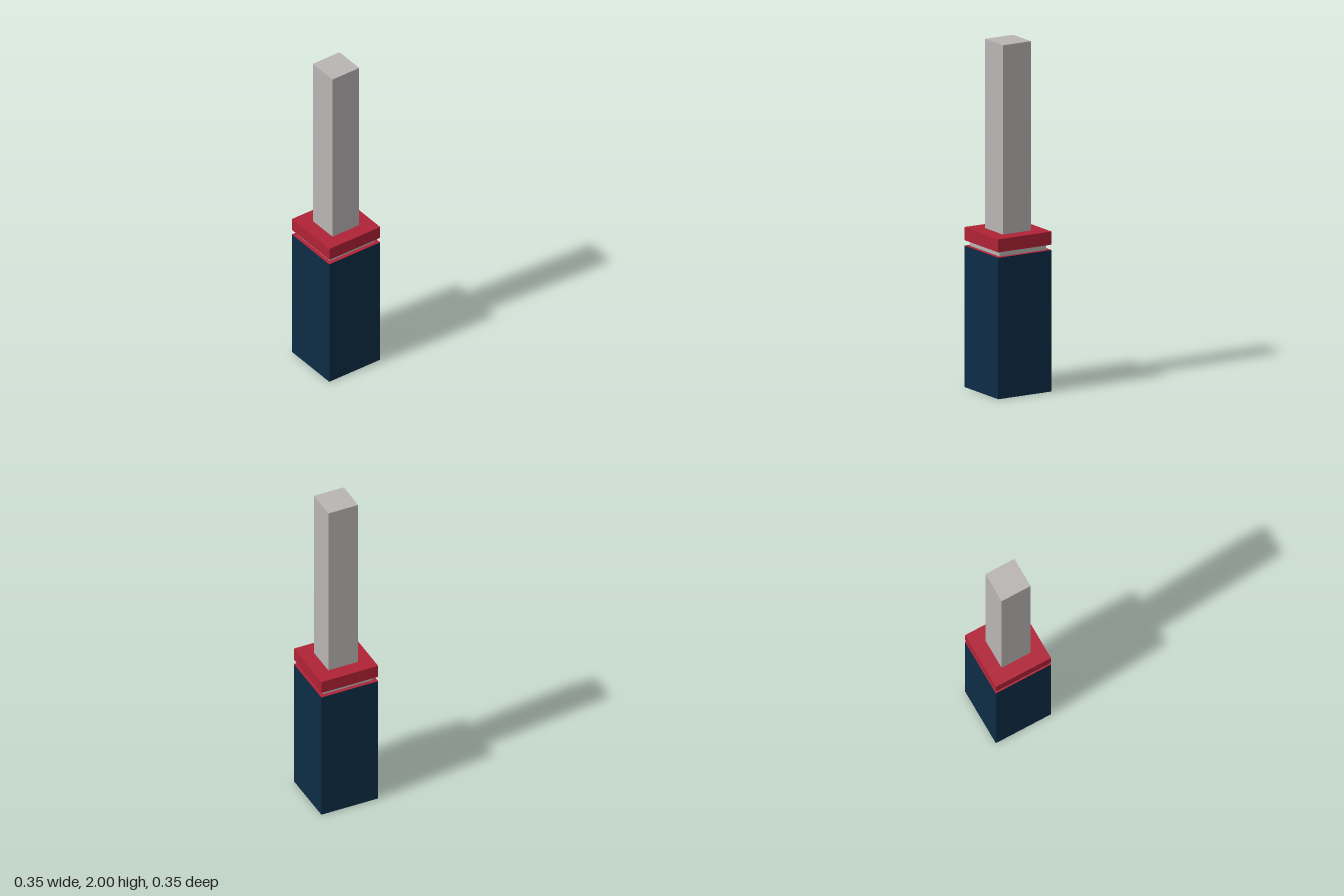
import * as THREE from 'three';

export function createModel() {
  const model = new THREE.Group();
  const paint = (name, color) => {
    const m = new THREE.MeshStandardMaterial({ color });
    m.name = name;
    return m;
  };
  const navy = paint('navy', 0x0d2c46);
  const red = paint('red', 0xb02236);
  const grey = paint('grey', 0xb9b5b4);

  // Square block centred on the axis, spanning y0 to y1
  const block = (name, width, y0, y1, material) => {
    const mesh = new THREE.Mesh(new THREE.BoxGeometry(width, y1 - y0, width), material);
    mesh.position.y = (y0 + y1) / 2;
    mesh.name = name;
    model.add(mesh);
  };

  // Navy sides with red top and bottom faces
  block('base', 0.352, 0, 0.81, [navy, navy, red, red, navy, navy]);
  // Recessed band between base and collar
  block('neck', 0.306, 0.81, 0.841, grey);
  block('collar', 0.352, 0.841, 0.916, red);
  block('shaft', 0.185, 0.916, 2, grey);

  return model;
}
